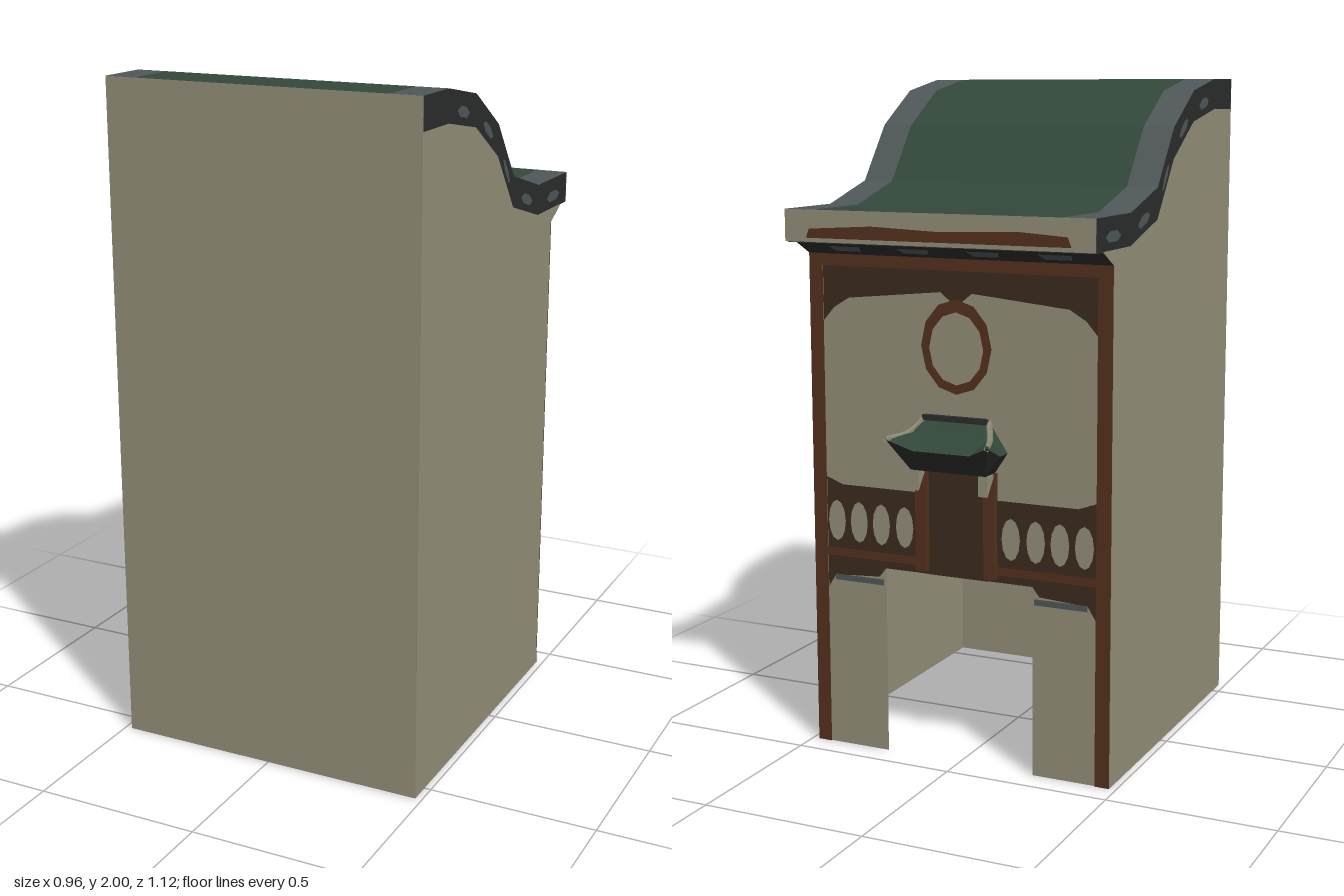
import * as THREE from 'three';

const mat = (name, color) =>
  new THREE.MeshStandardMaterial({ name, color, side: THREE.DoubleSide });

export function createModel() {
  const M = {
    plaster: mat('plaster', 0x938f79),
    green: mat('greenTile', 0x32483a),
    grey: mat('greyTile', 0x4e5759),
    dark: mat('darkEdge', 0x2b2c2c),
    rust: mat('rustWood', 0x55301c),
    brown: mat('darkWood', 0x3a2a1e),
  };
  const W = 0.48, FRONT = 0.565, BACK = -0.42;
  const group = new THREE.Group();
  group.name = 'house';

  const add = (name, geo, material) => {
    const m = new THREE.Mesh(geo, material);
    m.name = name;
    group.add(m);
    return m;
  };
  const polygon = pts => new THREE.Shape(pts.map(p => new THREE.Vector2(...p)));
  const rect = (x0, y0, x1, y1) => polygon([[x0, y0], [x1, y0], [x1, y1], [x0, y1]]);
  const ellipse = (x, y, rx, ry) => {
    const s = new THREE.Shape();
    s.absellipse(x, y, rx, ry, 0, Math.PI * 2);
    return s;
  };
  // Flat shape facing the back, stacked in thin layers on a plane
  const paint = (name, shape, material, layer = 0, z = BACK) => {
    const g = new THREE.ShapeGeometry(shape, 6);
    g.rotateY(Math.PI);
    g.scale(-1, 1, 1);
    // restore outward winding after the mirror
    const idx = g.index.array;
    for (let i = 0; i < idx.length; i += 3) [idx[i], idx[i + 1]] = [idx[i + 1], idx[i]];
    g.computeVertexNormals();
    g.translate(0, 0, z - layer * 0.002);
    return add(name, g, material);
  };
  // Shape drawn in (z, y), extruded across x
  const slab = (name, pts, x0, x1, material) => {
    const g = new THREE.ExtrudeGeometry(polygon(pts), { depth: x1 - x0, bevelEnabled: false });
    g.rotateY(-Math.PI / 2);
    g.translate(x1, 0, 0);
    return add(name, g, material);
  };
  // Shape drawn in (z, y), facing sideways at a given x
  const sidePlate = (name, pts, x, material) => {
    const g = new THREE.ShapeGeometry(polygon(pts));
    g.rotateY(-Math.PI / 2);
    if (x > 0) {
      const idx = g.index.array;
      for (let i = 0; i < idx.length; i += 3) [idx[i], idx[i + 1]] = [idx[i + 1], idx[i]];
      g.computeVertexNormals();
    }
    g.translate(x, 0, 0);
    return add(name, g, material);
  };
  // Flat-shaded surface between two rows of points
  const loft = (name, a, b, material) => {
    const v = [];
    for (let i = 0; i < a.length - 1; i++)
      v.push(...a[i], ...b[i], ...b[i + 1], ...a[i], ...b[i + 1], ...a[i + 1]);
    const g = new THREE.BufferGeometry();
    g.setAttribute('position', new THREE.Float32BufferAttribute(v, 3));
    g.computeVertexNormals();
    return add(name, g, material);
  };

  // Roof wave, front to back
  const T = 0.092;
  const wave = [[FRONT - 0.002, 2], [0.4, 2], [0.21, 1.965], [0.04, 1.86],
    [-0.09, 1.692], [-0.3, 1.632], [-0.55, 1.632]];
  const under = wave.map(([z, y]) => [z, y - T]);
  const band = [...wave, ...under.slice().reverse()];
  slab('roofTiles', band, -0.385, 0.385, M.green);
  for (const s of [-1, 1]) {
    slab('roofBorder', band, s < 0 ? -W : 0.385, s < 0 ? -0.385 : W, [M.dark, M.grey]);
    // Worn patches along the roof edge
    for (let i = 1; i < wave.length - 1; i++) {
      const [p, q] = [wave[i], wave[i + 1]];
      const at = (t, d) => [p[0] + (q[0] - p[0]) * t, p[1] + (q[1] - p[1]) * t - d];
      sidePlate('edgePatch', [at(0.3, 0.055), at(0.42, 0.04), at(0.62, 0.04),
        at(0.75, 0.055), at(0.65, 0.07), at(0.4, 0.07)], s * (W + 0.001), M.grey);
    }
    // Side walls follow the underside of the roof
    const top = under.filter(p => p[0] > BACK);
    sidePlate('sideWall', [[FRONT, 0], [FRONT, 2 - T], ...top.slice(1), [BACK, 1.54], [BACK, 0]],
      s * W, M.plaster);
    sidePlate('corniceEnd', [[BACK, 1.495], [BACK, 1.54], [-0.5, 1.54]], s * W, M.plaster);
  }
  const front = new THREE.PlaneGeometry(2 * W, 2);
  front.translate(0, 1, FRONT);
  add('plainWall', front, M.plaster);

  // Eave face, soffit and sloping cornice
  paint('eaveFace', rect(-W, 1.54, W, 1.632), M.plaster, 1, -0.55);
  paint('eaveStripe', polygon([[-0.41, 1.552], [0.41, 1.552], [0.4, 1.578], [0.2, 1.59],
    [0, 1.582], [-0.25, 1.59], [-0.4, 1.58]]), M.rust, 2, -0.55);
  loft('soffit', [[W, 1.538, BACK], [-W, 1.538, BACK]], [[W, 1.538, -0.55], [-W, 1.538, -0.55]], M.dark);
  loft('cornice', [[W, 1.537, -0.5], [-W, 1.537, -0.5]], [[W, 1.495, BACK], [-W, 1.495, BACK]], M.dark);
  for (const x of [-0.33, -0.11, 0.11, 0.33])
    loft('cornicePatch', [[x + 0.05, 1.524, -0.482], [x - 0.05, 1.524, -0.482]],
      [[x + 0.04, 1.508, -0.452], [x - 0.04, 1.508, -0.452]], M.grey);

  // Decorated wall with a wide entrance
  paint('decoratedWall', polygon([[-W, 0], [-0.238, 0], [-0.238, 0.567], [0.238, 0.567],
    [0.238, 0], [W, 0], [W, 1.54], [-W, 1.54]]), M.plaster);
  paint('topFrieze', polygon([[-0.435, 1.5], [-0.435, 1.3], [-0.4, 1.34], [-0.35, 1.37], [-0.2, 1.385],
    [-0.05, 1.4], [0, 1.36], [0.05, 1.4], [0.2, 1.385], [0.35, 1.37], [0.4, 1.34],
    [0.435, 1.3], [0.435, 1.5]]), M.brown, 1);
  paint('friezeRail', rect(-W, 1.462, W, 1.497), M.rust, 2);
  const ring = ellipse(0, 1.245, 0.112, 0.137);
  ring.holes.push(ellipse(0, 1.24, 0.086, 0.105));
  paint('roundWindowFrame', ring, M.rust, 2);
  paint('doorPanel', rect(-0.1, 0.567, 0.1, 0.9), M.brown, 1);

  for (const s of [-1, 1]) {
    paint('cornerPost', rect(s * 0.435, 0, s * W, 1.5), M.rust, 2);
    // Balustrade beam with oval openings
    paint('balustrade', polygon([[s * 0.1, 0.568], [s * 0.238, 0.568], [s * 0.26, 0.54],
      [s * 0.41, 0.53], [s * 0.435, 0.49], [s * 0.435, 0.83], [s * 0.38, 0.81], [s * 0.1, 0.81]]), M.brown, 1);
    paint('balustradeRail', rect(s * 0.12, 0.59, s * 0.435, 0.615), M.rust, 2);
    paint('beamShadowLine', rect(s * 0.245, 0.515, s * 0.41, 0.533), M.grey, 2);
    for (const x of [0.4, 0.325, 0.25, 0.172])
      paint('balustradeOval', ellipse(s * x, 0.7, 0.029, 0.062), M.plaster, 3);

    const column = new THREE.BoxGeometry(0.035, 0.31, 0.022);
    column.translate(s * 0.11, 0.735, -0.431);
    add('doorColumn', column, M.rust);
    // Bracket below the canopy
    const b0 = s * 0.11 - 0.015;
    slab('canopyBracket', [[BACK, 0.89], [-0.48, 0.89], [-0.48, 0.83], [-0.44, 0.88]],
      b0, b0 + 0.03, M.plaster);
  }

  // Flared canopy over the door
  const both = pts => [...pts, ...pts.slice().reverse().map(([x, y, z]) => [-x, y, z])];
  const ridge = both([[0.1, 1.04, BACK], [0.06, 1.04, BACK]]);
  const mid = both([[0.128, 0.998, -0.47], [0.07, 0.995, -0.47]]);
  const eave = both([[0.16, 0.988, -0.555], [0.09, 0.955, -0.525]]);
  const foot = both([[0.12, 0.89, -0.48], [0.07, 0.89, -0.48]]);
  loft('canopyUpperSlope', mid, ridge, M.green);
  loft('canopyLowerSlope', eave, mid, M.green);
  loft('canopyFascia', foot, eave, M.dark);
  loft('canopyUnderside', both([[0.12, 0.89, BACK]]), both([[0.12, 0.89, -0.48]]), M.grey);
  for (const s of [-1, 1]) {
    const P = (x, y, z) => [s * x, y, z];
    const side = [P(0.1, 1.04, BACK), P(0.128, 0.998, -0.47), P(0.16, 0.988, -0.555)];
    const low = [P(0.16, 0.95, BACK), P(0.16, 0.95, -0.47), P(0.16, 0.988, -0.555)];
    const base = [P(0.12, 0.89, BACK), P(0.12, 0.89, -0.46), P(0.12, 0.89, -0.48)];
    const order = r => (s > 0 ? r : r.slice().reverse());
    loft('canopySide', order(low), order(side), M.green);
    loft('canopySideFascia', order(base), order(low), M.dark);
    const path = new THREE.CatmullRomCurve3(side.map(p => new THREE.Vector3(...p)));
    add('canopyHipRib', new THREE.TubeGeometry(path, 6, 0.01, 4), M.plaster);
  }
  const cap = new THREE.BoxGeometry(0.21, 0.016, 0.016);
  cap.translate(0, 1.037, BACK - 0.008);
  add('canopyRidge', cap, M.dark);

  return group;
}
